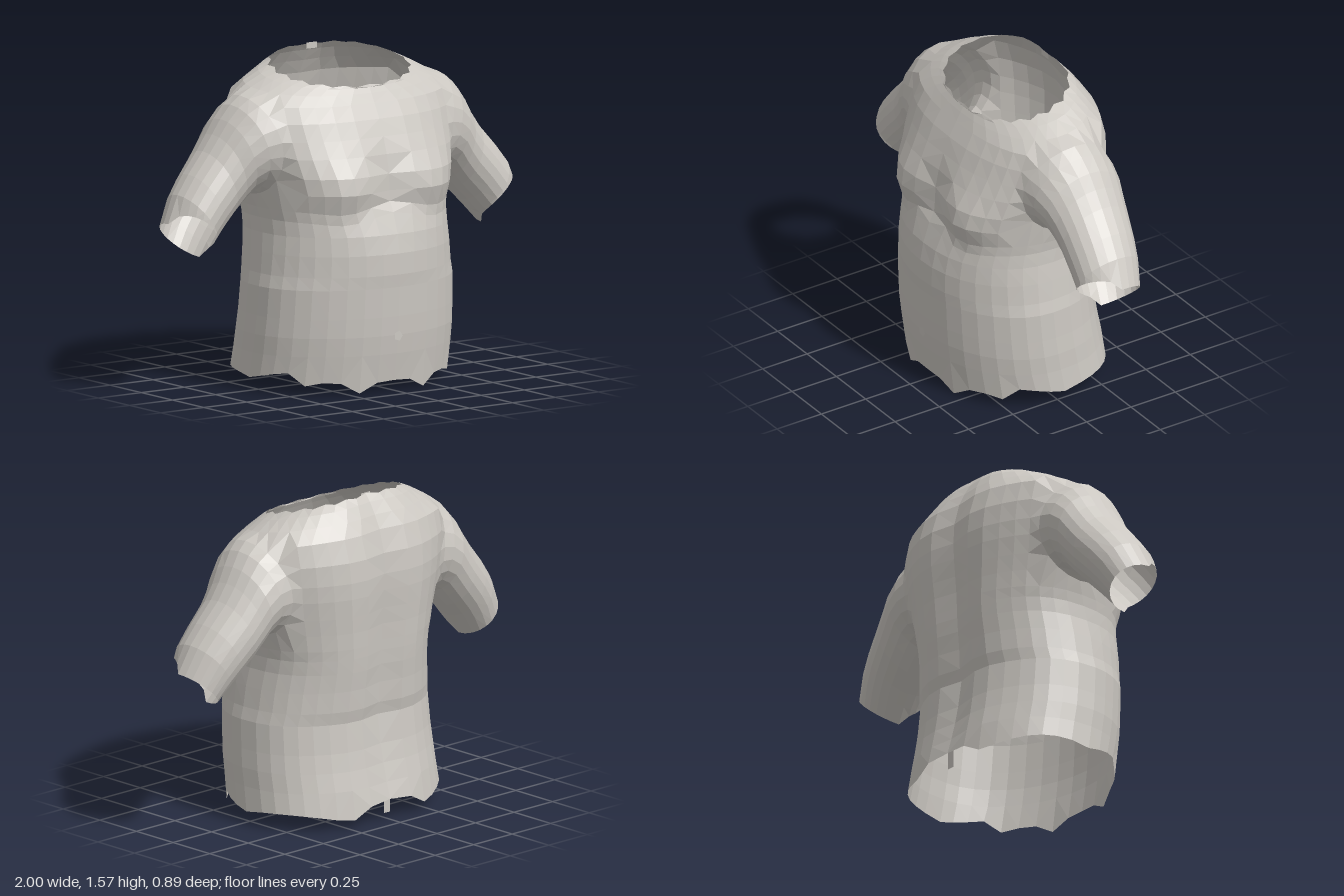
import * as THREE from 'three';

const COLS = 36;
const HOLE = { row0: 10, row1: 15, col0: 6, col1: 12 }; // arm opening on each side

// Torso rings: [y, half width, front z, back z, tilt (raises back, lowers front),
// front roundness (1 is an ellipse, less is boxier)]
const RINGS = [
  [0.06, 0.54, 0.4, -0.435, 0, 1], [0.18, 0.535, 0.42, -0.415, 0, 1], [0.27, 0.535, 0.43, -0.395, 0, 1],
  [0.36, 0.53, 0.435, -0.38, 0, 1], [0.5, 0.525, 0.44, -0.365, 0, 1], [0.56, 0.512, 0.445, -0.378, 0, 1],
  [0.66, 0.5, 0.442, -0.385, 0, 0.97], [0.75, 0.488, 0.425, -0.395, 0, 0.92], [0.82, 0.487, 0.39, -0.4, 0, 0.86],
  [0.87, 0.495, 0.362, -0.402, 0, 0.82], [0.95, 0.51, 0.358, -0.405, 0, 0.8], [1.03, 0.53, 0.36, -0.41, 0, 0.8],
  [1.12, 0.55, 0.345, -0.415, 0, 0.8], [1.2, 0.56, 0.315, -0.415, 0, 0.8], [1.29, 0.57, 0.28, -0.405, 0.01, 0.8],
  [1.38, 0.57, 0.24, -0.37, 0.03, 0.82], [1.435, 0.5, 0.215, -0.335, 0.04, 0.9],
  [1.475, 0.42, 0.2, -0.3, 0.055, 0.92], [1.5, 0.35, 0.195, -0.268, 0.067, 0.92],
];

// Torn hem height, from the front centre round to the back centre
const HEM = [0.05, 0.045, 0, 0.05, 0.055, 0.04, 0.1, 0.09, 0.075, 0.06, 0.075, 0.08, 0.08, 0.075, 0.065, 0.05, 0.04, 0.09, 0.1];

// Left arm rings: top x, y, bottom x, y, front z, back z, then how far the
// front and back edges pull in towards the body
const ARM_ROOT = [0.575, 1.405, 0.51, 0.93, 0.19, -0.285, 0.05];
const ARM = [
  [0.625, 1.365, 0.53, 0.95, 0.17, -0.28, 0.02],
  [0.675, 1.3, 0.565, 0.93, 0.145, -0.275, 0], [0.72, 1.23, 0.61, 0.885, 0.125, -0.265, 0],
  [0.775, 1.155, 0.655, 0.84, 0.115, -0.255, 0], [0.865, 1.055, 0.72, 0.775, 0.115, -0.235, 0],
  [0.935, 0.965, 0.765, 0.725, 0.115, -0.215, 0], [1.0, 0.835, 0.82, 0.66, 0.115, -0.185, 0],
];
const ARM_SIDES = 2 * (HOLE.col1 - HOLE.col0 + HOLE.row1 - HOLE.row0);

const bump = (d, s) => Math.exp(-(d * d) / (s * s));
const power = (v, e) => Math.sign(v) * Math.abs(v) ** e;

// Point k of an arm ring, counted from the top round by the front
function armPoint([tx, ty, bx, by, front, back, pull], k) {
  const a = (k / ARM_SIDES) * Math.PI * 2;
  const c = Math.cos(a) / 2, s = Math.sin(a);
  return new THREE.Vector3(
    (tx + bx) / 2 + (tx - bx) * c - pull * s * s,
    (ty + by) / 2 + (ty - by) * c,
    (front + back) / 2 + ((front - back) / 2) * s);
}

// Number of a torso grid point on the edge of the arm opening, or -1
function openingIndex(i, j) {
  const { row0, row1, col0, col1 } = HOLE;
  if (i < row0 || i > row1 || j < col0 || j > col1) return -1;
  const mid = (col0 + col1) / 2, rows = row1 - row0;
  if (i === row1) return (mid - j + ARM_SIDES) % ARM_SIDES;
  if (j === col0) return mid - col0 + row1 - i;
  if (i === row0) return mid - col0 + rows + j - col0;
  if (j === col1) return mid - col0 + rows + col1 - col0 + i - row0;
  return -1;
}

function torsoPoint(i, j) {
  const side = Math.min(j, COLS - j);
  const k = openingIndex(i, side);
  if (k >= 0) {
    const p = armPoint(ARM_ROOT, k);
    if (j > side) p.x *= -1;
    return p;
  }
  const [y0, w, front, back, tilt, round] = RINGS[i];
  const a = (j / COLS) * Math.PI * 2;
  const e = Math.cos(a) > 0 ? round : i > 15 ? 0.92 : 0.82;
  let x = w * power(Math.sin(a), e);
  let z = (front + back) / 2 + ((front - back) / 2) * power(Math.cos(a), e);
  let y = y0 - tilt * Math.cos(a);
  if (Math.cos(a) > 0.2) {
    // chest folds and breastbone groove
    z += 0.068 * bump(Math.abs(x) - 0.26, 0.18) * bump(y - 0.96, 0.12);
    z -= 0.01 * bump(x, 0.06) * bump(y - 1.05, 0.15);
    if (i === 8 || i === 9) y += 0.03 * bump(x, 0.12) - 0.015 * bump(Math.abs(x) - 0.27, 0.1);
  } else if (Math.cos(a) < -0.2) {
    // spine groove and shoulder blades
    z += 0.03 * bump(x, 0.07) * bump(y - 0.85, 0.6);
    z -= 0.015 * bump(Math.abs(x) - 0.2, 0.12);
  }
  if (i === 0) y = HEM[side];
  if (i === RINGS.length - 1 && j % 2) { // ragged neckline
    x *= 1.06;
    z *= 1.04;
    y -= 0.008;
  }
  return new THREE.Vector3(x, y, z);
}

function armRows(sign) {
  return [ARM_ROOT, ...ARM].map((ring, r) => {
    const row = Array.from({ length: ARM_SIDES }, (_, k) => {
      const p = armPoint(ring, k);
      if (r === ARM.length) { // the front of the cuff is cut back
        const cut = 0.08 * Math.sqrt(Math.max(0, Math.sin((k / ARM_SIDES) * Math.PI * 2)));
        p.x -= 0.7 * cut;
        p.y += cut;
      }
      p.x *= sign;
      return p;
    });
    return sign < 0 ? row.reverse() : row;
  });
}

// Skin between closed rows of points, each quad split along its shorter
// diagonal, leaving out any skipped quads
function loft(rows, skip = () => false) {
  const n = rows[0].length;
  const points = rows.flat();
  const index = [];
  for (let i = 0; i < rows.length - 1; i++) {
    for (let j = 0; j < n; j++) {
      if (skip(i, j)) continue;
      const a = i * n + j, b = i * n + ((j + 1) % n), c = b + n, d = a + n;
      const ac = points[a].distanceTo(points[c]), bd = points[b].distanceTo(points[d]);
      if (ac < bd) index.push(a, b, c, a, c, d);
      else index.push(a, b, d, b, c, d);
    }
  }
  const g = new THREE.BufferGeometry().setFromPoints(points);
  g.setIndex(index);
  const flat = g.toNonIndexed();
  flat.computeVertexNormals();
  return flat;
}

export function createModel() {
  const group = new THREE.Group();
  group.name = 'upperBody';
  const skin = new THREE.MeshStandardMaterial({ color: 0xccc8c2, flatShading: true, side: THREE.DoubleSide });
  skin.name = 'pale grey';
  const add = (name, geometry) => {
    const mesh = new THREE.Mesh(geometry, skin);
    mesh.name = name;
    group.add(mesh);
    return mesh;
  };

  // Torso shell with an opening for each arm
  const rows = RINGS.map((_, i) => Array.from({ length: COLS }, (_, j) => torsoPoint(i, j)));
  const { row0, row1, col0, col1 } = HOLE;
  add('torso', loft(rows, (i, j) => {
    const k = Math.min(j, COLS - 1 - j);
    return i >= row0 && i < row1 && k >= col0 && k < col1;
  }));

  // Arms grow out of the openings
  add('leftArm', loft(armRows(1)));
  add('rightArm', loft(armRows(-1)));

  // Navel, a small shallow star
  add('navel', new THREE.CircleGeometry(0.025, 5)).position.set(0, 0.265, 0.432);

  // Loose strip at the base of the spine and tab at the nape
  add('spineStrip', new THREE.PlaneGeometry(0.04, 0.09)).position.set(0, 0.075, -0.41);
  add('napeTab', new THREE.PlaneGeometry(0.06, 0.03)).position.set(0, 1.555, -0.262);
  return group;
}
